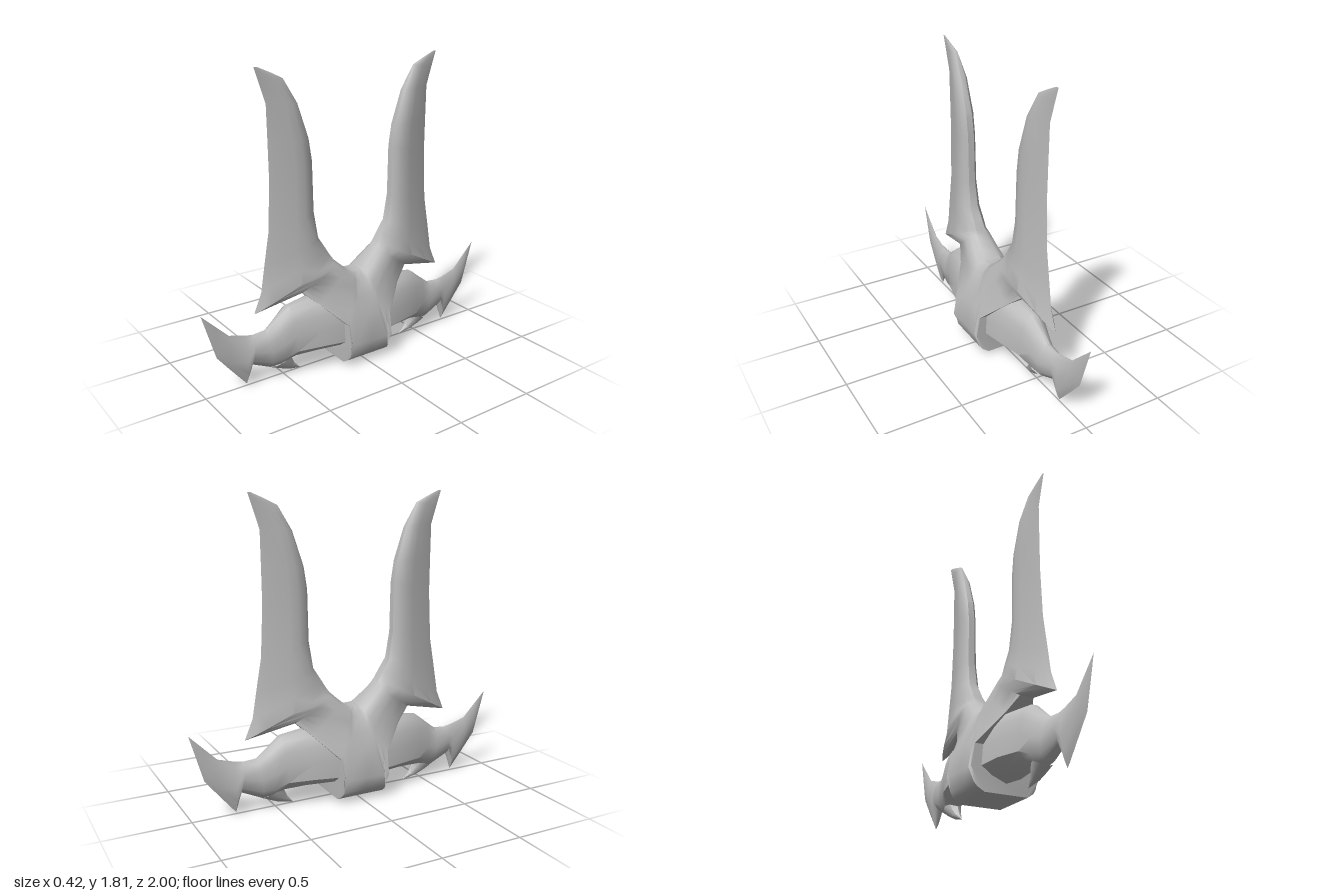
import * as THREE from 'three';
import { toCreasedNormals } from 'three/addons/utils/BufferGeometryUtils.js';

const steel = new THREE.MeshStandardMaterial({ color: 0xbbbbbb });
steel.name = 'plain grey';

// Linear lookup in a list of [input, output] pairs
function lookup(table, v) {
  if (v <= table[0][0]) return table[0][1];
  for (let i = 1; i < table.length; i++) {
    const [a, fa] = table[i - 1], [b, fb] = table[i];
    if (v <= b) return fa + (fb - fa) * (v - a) / (b - a);
  }
  return table[table.length - 1][1];
}

// Station: [z0, y0, z1, y1, value] - a line in the side plane that gets a thickness
const mirror = (stations) => stations.map(([a, b, c, d, e]) => [-a, b, -c, d, e]).reverse();

// Skins closed rings; halfWidth(y, k, value) gives x at the k-th fraction of a station
function loft(name, stations, fractions, halfWidth) {
  const rings = stations.map(([z0, y0, z1, y1, value]) => {
    const half = fractions.map((t, k) => {
      const y = y0 + (y1 - y0) * t;
      return new THREE.Vector3(halfWidth(y, k, value), y, z0 + (z1 - z0) * t);
    });
    const other = half.map((p) => new THREE.Vector3(-p.x, p.y, p.z)).reverse();
    return [...half, ...other];
  });
  const pos = [];
  const area = new THREE.Triangle();
  const tri = (a, b, c) => {
    if (area.set(a, b, c).getArea() > 1e-7) for (const p of [a, b, c]) pos.push(p.x, p.y, p.z);
  };
  for (let j = 0; j + 1 < rings.length; j++) {
    const r = rings[j], s = rings[j + 1];
    for (let i = 0; i < r.length; i++) {
      const n = (i + 1) % r.length;
      tri(r[i], r[n], s[i]);
      tri(r[n], s[n], s[i]);
    }
  }
  const geo = new THREE.BufferGeometry();
  geo.setAttribute('position', new THREE.Float32BufferAttribute(pos, 3));
  const mesh = new THREE.Mesh(toCreasedNormals(geo, 0.75), steel);
  mesh.name = name;
  return mesh;
}

export function createModel() {
  const group = new THREE.Group();
  group.name = 'twinBlade';

  // Upright blades joined by the thick saddle; value = bluntness of the outer edge
  const widthByHeight = [[0.02, 0.13], [0.05, 0.175], [0.09, 0.2], [0.15, 0.212], [0.28, 0.19],
    [0.45, 0.13], [0.65, 0.08], [0.8, 0.064], [1, 0.05], [1.52, 0.048], [1.65, 0.032], [1.81, 0]];
  const bladeHalf = [
    [0.60, 1.81, 0.62, 1.81, 0],
    [0.52, 1.775, 0.605, 1.765, 0],
    [0.45, 1.74, 0.59, 1.72, 0],
    [0.37, 1.60, 0.555, 1.61, 0],
    [0.305, 1.40, 0.552, 1.40, 0],
    [0.285, 1.27, 0.55, 1.2, 0],
    [0.28, 0.97, 0.565, 0.9, 0],
    [0.255, 0.81, 0.60, 0.7, 0],
    [0.21, 0.74, 0.625, 0.55, 0],
    [0.18, 0.69, 0.675, 0.43, 0],
    [0.155, 0.655, 0.38, 0.50, 0.35],
    [0.10, 0.605, 0.29, 0.42, 0.6],
    [0.04, 0.555, 0.152, 0.28, 1],
    [0.03, 0.553, 0.152, 0.15, 1],
    [0.02, 0.551, 0.152, 0.02, 1],
  ];
  const sharp = [0.4, 0.8, 1, 0.85, 0.4, 0.18, 0.09, 0];
  const blunt = [0.5, 0.85, 1, 1, 1, 1, 1, 1];
  group.add(loft('uprightBlades',
    [...bladeHalf, [0, 0.55, 0, 0.02, 1], ...mirror(bladeHalf)],
    [0, 0.08, 0.25, 0.45, 0.75, 0.9, 0.95, 1],
    (y, k, e) => lookup(widthByHeight, y) * THREE.MathUtils.lerp(sharp[k], blunt[k], e)));

  // Low crossing arm ending in hooked points; value = half thickness
  const armHalf = [
    [1, 0.505, 1, 0.505, 0],
    [0.92, 0.425, 0.92, 0.23, 0.012],
    [0.84, 0.345, 0.84, 0.13, 0.022],
    [0.74, 0.315, 0.74, 0.01, 0.035],
    [0.69, 0.305, 0.71, 0.125, 0.045],
    [0.61, 0.31, 0.58, 0.065, 0.06],
    [0.54, 0.363, 0.51, 0.065, 0.075],
    [0.46, 0.425, 0.44, 0.09, 0.095],
    [0.29, 0.445, 0.30, 0.09, 0.13],
    [0.15, 0.45, 0.15, 0.08, 0.15],
  ];
  const armShape = [0.2, 0.6, 0.82, 0.95, 1, 0.6, 0];
  const thinShape = [0, 0.3, 0.75, 1, 0.6, 0.3, 0];
  group.add(loft('hookedArm', [...armHalf, ...mirror(armHalf)],
    [0, 0.08, 0.25, 0.5, 0.78, 0.9, 1],
    (y, k, w) => w * THREE.MathUtils.lerp(thinShape[k], armShape[k], Math.min(1, w / 0.1))));

  // Small fangs under the arm
  const fang = [
    [0.45, 0.13, 0.585, 0.066, 0.05],
    [0.44, 0.09, 0.53, 0.042, 0.04],
    [0.42, 0.045, 0.47, 0.018, 0.025],
    [0.38, 0, 0.38, 0, 0],
  ];
  const fangShape = [0, 0.8, 1, 0.7, 0];
  for (const [name, s] of [['frontFang', fang], ['backFang', mirror(fang)]]) {
    group.add(loft(name, s, [0, 0.2, 0.5, 0.8, 1], (y, k, w) => w * fangShape[k]));
  }
  return group;
}
